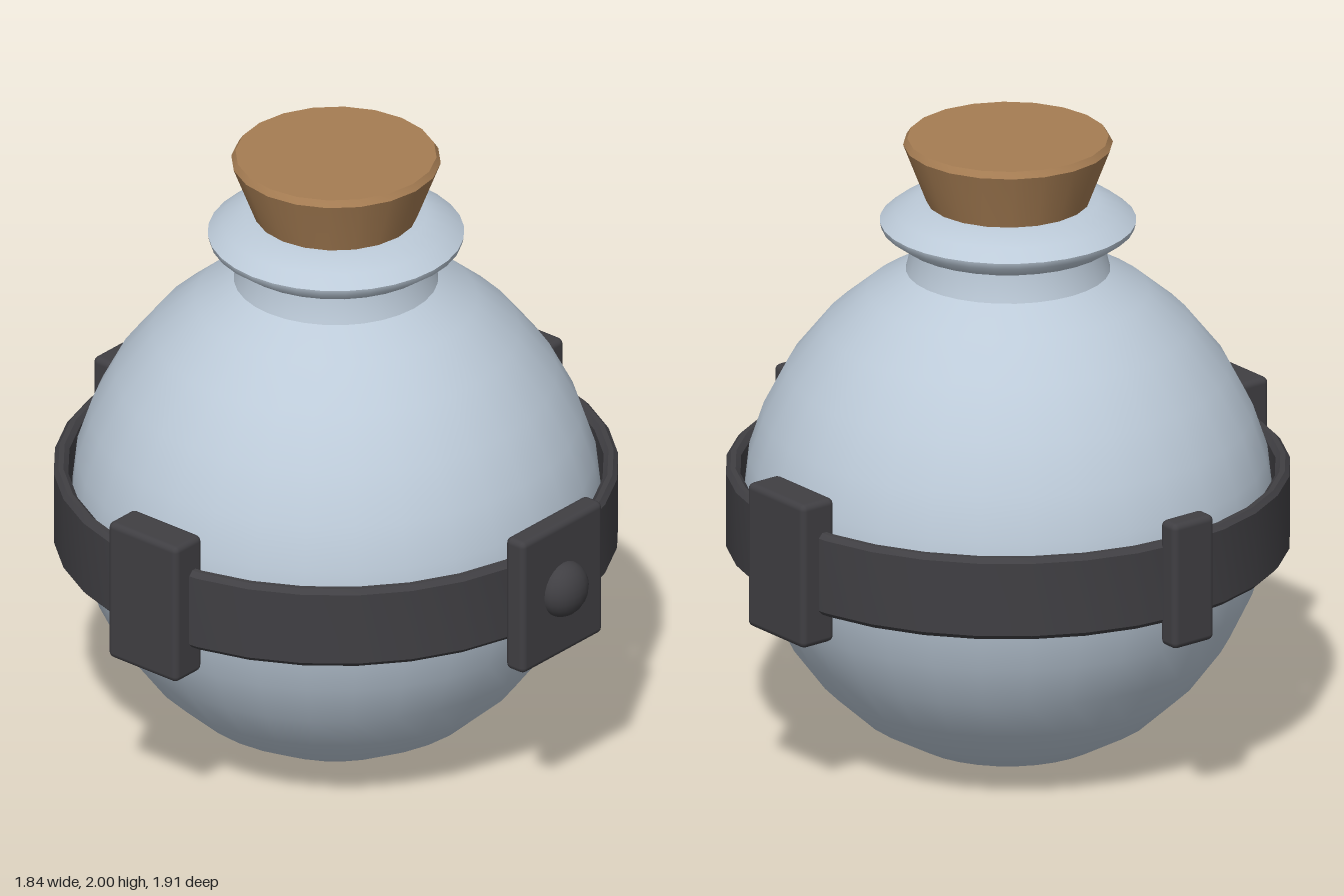
import * as THREE from 'three';
import { toCreasedNormals } from 'three/addons/utils/BufferGeometryUtils.js';
import { RoundedBoxGeometry } from 'three/addons/geometries/RoundedBoxGeometry.js';

const AXIS_Z = -0.035; // the flask axis sits slightly behind the centre
const BAND_Y = 0.805;

export function createModel() {
  const model = new THREE.Group();
  model.name = 'corkedFlask';

  const glass = new THREE.MeshStandardMaterial({ name: 'paleGlass', color: 0xbccad8 });
  const cork = new THREE.MeshStandardMaterial({ name: 'cork', color: 0xa67d53 });
  const iron = new THREE.MeshStandardMaterial({ name: 'darkIron', color: 0x403f43 });

  function add(name, geometry, material, x = 0, y = 0, z = AXIS_Z) {
    const mesh = new THREE.Mesh(geometry, material);
    mesh.name = name;
    mesh.position.set(x, y, z);
    model.add(mesh);
    return mesh;
  }

  // Turned part from [radius, height] pairs listed upwards on the outside
  function turned(name, profile, sides, material, crease) {
    const points = profile.map(([r, y]) => new THREE.Vector2(r, y));
    add(name, toCreasedNormals(new THREE.LatheGeometry(points, sides), crease), material);
  }

  // Glass: round body, short neck and flared lip
  turned('body', [
    [0, 0.005], [0.16, 0.005], [0.31, 0.05], [0.46, 0.135], [0.585, 0.25], [0.685, 0.385],
    [0.755, 0.53], [0.8, 0.685], [0.815, 0.83], [0.8, 0.965], [0.755, 1.1], [0.68, 1.245],
    [0.565, 1.39], [0.435, 1.5], [0.305, 1.575],
  ], 32, glass, 0.6);
  turned('neck', [[0.32, 1.55], [0.312, 1.58], [0.3, 1.63], [0.295, 1.68]], 32, glass, 0.6);
  turned('lip', [
    [0.28, 1.67], [0.335, 1.67], [0.39, 1.71], [0.395, 1.73], [0.35, 1.765], [0.28, 1.795], [0.2, 1.797],
  ], 32, glass, 0.75);

  // Tapered stopper with a small bevel at the top
  turned('stopper', [[0, 1.72], [0.225, 1.72], [0.25, 1.79], [0.323, 1.98], [0.31, 2], [0, 2]], 20, cork, 0.45);

  // Bevelled ring around the belly
  turned('band', [
    [0.825, 0.685], [0.84, 0.67], [0.856, 0.67], [0.87, 0.685],
    [0.87, 0.922], [0.856, 0.937], [0.84, 0.937], [0.825, 0.922], [0.825, 0.685],
  ], 32, iron, 0.45);

  // Plates clamped over the band
  const plate = (name, w, h, d, x, z) =>
    add(name, new RoundedBoxGeometry(w, h, d, 2, 0.02), iron, x, BAND_Y, z);
  plate('frontPlate', 0.38, 0.456, 0.076, 0, 0.848);
  plate('backPlate', 0.16, 0.41, 0.075, 0, -0.918);
  for (const side of [1, -1]) {
    plate(side > 0 ? 'leftPlate' : 'rightPlate', 0.127, 0.47, 0.28, side * 0.855, AXIS_Z);
  }

  // Domed rivet on the front plate
  const rivet = add('rivet', new THREE.SphereGeometry(0.09, 20, 12), iron, 0, BAND_Y, 0.885);
  rivet.scale.z = 0.78;

  return model;
}
